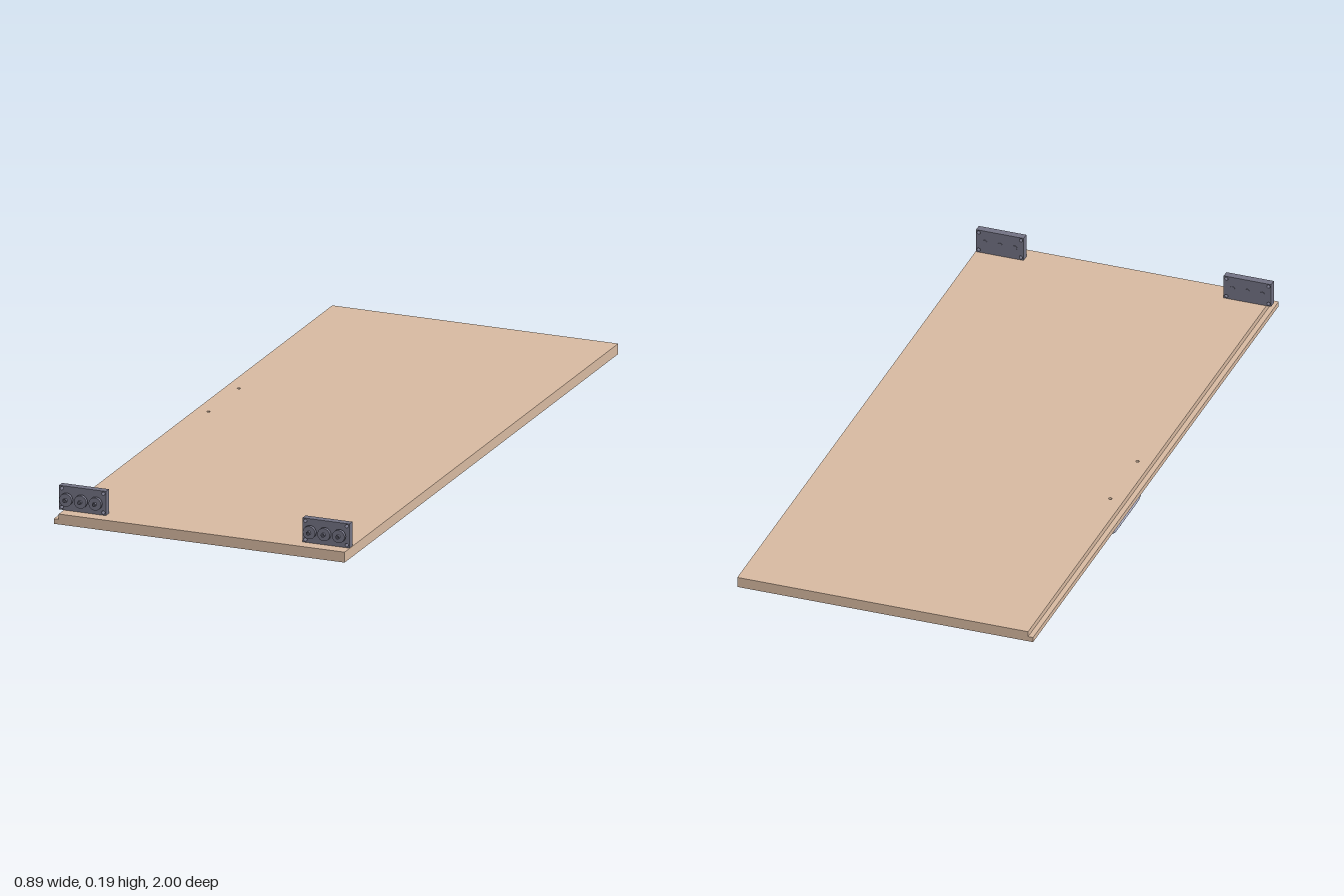
import * as THREE from 'three';

const wood = new THREE.MeshStandardMaterial({ color: 0xd9bba2 });
const steel = new THREE.MeshStandardMaterial({ color: 0xb0b2c8 });
const iron = new THREE.MeshStandardMaterial({ color: 0x737384 });
const glass = new THREE.MeshStandardMaterial({ color: 0xaaaaaa });

const BOTTOM = 0.092, STEP = 0.107, TOP = 0.123;
const HANDLE_X = -0.39, HANDLE_Z = [0, -0.222];

function add(parent, name, geometry, material) {
  const mesh = new THREE.Mesh(geometry, material);
  mesh.name = name;
  parent.add(mesh);
  return mesh;
}

// Rectangle with optional rounded corners
function rect(x0, y0, x1, y1, r = 0) {
  const s = new THREE.Shape();
  if (!r) {
    s.moveTo(x0, y0).lineTo(x1, y0).lineTo(x1, y1).lineTo(x0, y1).closePath();
    return s;
  }
  s.absarc(x1 - r, y0 + r, r, -Math.PI / 2, 0);
  s.absarc(x1 - r, y1 - r, r, 0, Math.PI / 2);
  s.absarc(x0 + r, y1 - r, r, Math.PI / 2, Math.PI);
  s.absarc(x0 + r, y0 + r, r, Math.PI, Math.PI * 1.5);
  s.closePath();
  return s;
}

function circle(x, y, r) {
  return new THREE.Path().absarc(x, y, r, 0, Math.PI * 2, true);
}

// Horizontal board between two heights; shape y becomes -z
function board(shape, y0, y1) {
  const g = new THREE.ExtrudeGeometry(shape, { depth: y1 - y0, bevelEnabled: false, curveSegments: 12 });
  return g.rotateX(-Math.PI / 2).translate(0, y0, 0);
}

// Upright plate with three rollers
function bracket(name, cx) {
  const group = new THREE.Group();
  group.name = name;
  const w = 0.0715, h = 0.036;
  const plate = rect(-w, -h, w, h);
  for (const x of [-1, 1]) for (const y of [-1, 1])
    plate.holes.push(circle(x * (w - 0.008), y * (h - 0.008), 0.005));
  add(group, 'plate', new THREE.ExtrudeGeometry(plate, { depth: 0.022, bevelEnabled: false }), iron);
  const profile = [[0, -0.002], [0.007, -0.002], [0.007, 0.03], [0.019, 0.03],
    [0.019, 0.04], [0.006, 0.04], [0.006, 0.047], [0.003, 0.047], [0.003, 0.043], [0, 0.043]];
  // Separate bands keep the turned edges sharp
  for (const dx of [-0.045, 0, 0.045]) {
    const roller = new THREE.Group();
    roller.name = 'roller';
    roller.position.x = dx;
    for (let i = 0; i < profile.length - 1; i++) {
      const band = [profile[i], profile[i + 1]].map(p => new THREE.Vector2(...p));
      add(roller, 'rollerBand', new THREE.LatheGeometry(band, 24).rotateX(Math.PI / 2), iron);
    }
    group.add(roller);
  }
  group.position.set(cx, TOP + h, 0.94);
  return group;
}

export function createModel() {
  const model = new THREE.Group();
  model.name = 'slidingDoor';

  // Door leaf: lower layer with window pocket, upper layer set back to leave a rebate
  const lower = rect(-0.445, -1, 0.445, 1);
  const pocket = [-0.335, -0.455, 0.318, 0.66, 0.035];
  lower.holes.push(rect(...pocket));
  const upper = rect(-0.43, -1, 0.445, 1);
  for (const z of HANDLE_Z) {
    lower.holes.push(circle(HANDLE_X, -z, 0.005));
    upper.holes.push(circle(HANDLE_X, -z, 0.005));
  }
  add(model, 'lowerLeaf', board(lower, BOTTOM, STEP), wood);
  add(model, 'upperLeaf', board(upper, STEP, TOP), wood);
  add(model, 'windowPanel', board(rect(...pocket), STEP - 0.001, STEP + 0.001), glass);

  // Bent bar handle under the leaf
  const r = 0.0115, bend = 0.026, [za, zb] = HANDLE_Z;
  const p = (y, z) => new THREE.Vector3(HANDLE_X, y, z);
  const path = new THREE.CurvePath();
  path.add(new THREE.LineCurve3(p(BOTTOM, za), p(r + bend, za)));
  path.add(new THREE.QuadraticBezierCurve3(p(r + bend, za), p(r, za), p(r, za - bend)));
  path.add(new THREE.LineCurve3(p(r, za - bend), p(r, zb + bend)));
  path.add(new THREE.QuadraticBezierCurve3(p(r, zb + bend), p(r, zb), p(r + bend, zb)));
  path.add(new THREE.LineCurve3(p(r + bend, zb), p(BOTTOM, zb)));
  add(model, 'handle', new THREE.TubeGeometry(path, 80, r, 20), steel);

  // Roller brackets at the front end
  model.add(bracket('rightBracket', -0.373), bracket('leftBracket', 0.372));
  return model;
}
